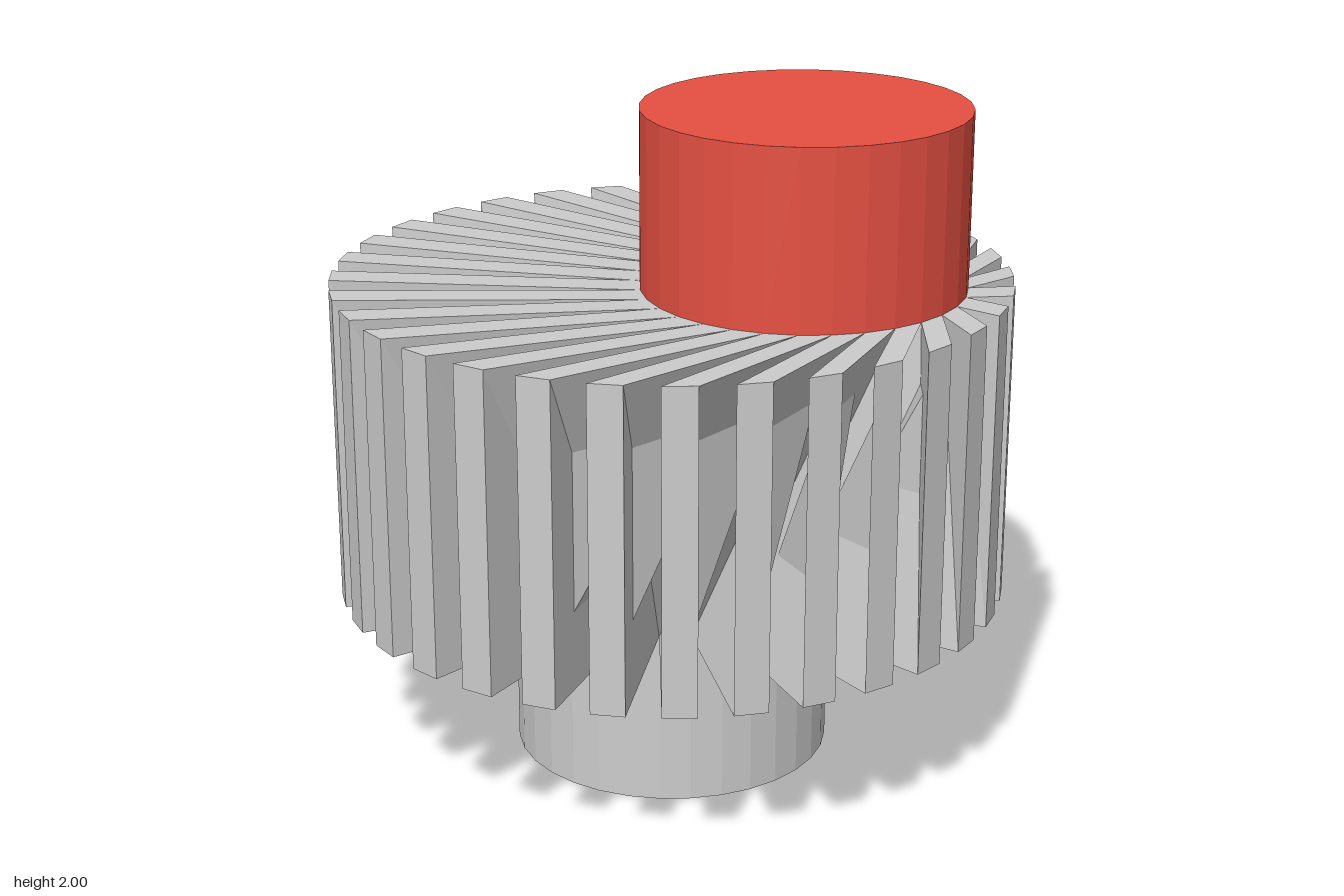
import * as THREE from 'three';

const TEETH = 32, CORE_R = 0.475, OUTER_R = 1;
const Y0 = 0.525, Y1 = 1.475, HEIGHT = 2, SHIFT = 0.395;

// Toothed body: the tips stay upright while the roots lean from the lower shaft to the offset upper one
function toothedGeometry() {
  const pitch = (Math.PI * 2) / TEETH;
  const bottom = [], top = [];
  const add = (r, a, lean) => {
    const x = r * Math.cos(a), z = -r * Math.sin(a);
    bottom.push([x, Y0, z]);
    top.push([x + lean, Y1, z]);
  };
  for (let k = 0; k < TEETH; k++) {
    add(CORE_R, k * pitch, SHIFT);
    add(OUTER_R, (k + 0.25) * pitch, 0);
    add(OUTER_R, (k + 0.75) * pitch, 0);
  }
  const pos = [];
  const tri = (a, b, c) => pos.push(...a, ...b, ...c);
  const n = bottom.length;
  // walls
  for (let i = 0; i < n; i++) {
    const j = (i + 1) % n;
    tri(bottom[i], bottom[j], top[i]);
    tri(bottom[j], top[j], top[i]);
  }
  // upper and lower tooth faces
  for (let i = 0; i < n; i += 3) {
    const j = (i + 3) % n;
    tri(top[i], top[i + 1], top[i + 2]);
    tri(top[i], top[i + 2], top[j]);
    tri(bottom[i], bottom[i + 2], bottom[i + 1]);
    tri(bottom[i], bottom[j], bottom[i + 2]);
  }
  const g = new THREE.BufferGeometry();
  g.setAttribute('position', new THREE.Float32BufferAttribute(pos, 3));
  g.computeVertexNormals();
  return g;
}

// Faceted shaft between two heights
function shaftGeometry(y0, y1, x) {
  const g = new THREE.CylinderGeometry(CORE_R, CORE_R, y1 - y0, TEETH).toNonIndexed();
  g.computeVertexNormals();
  return g.translate(x, (y0 + y1) / 2, 0);
}

export function createModel() {
  const gray = new THREE.MeshStandardMaterial({ color: 0xcccccc, side: THREE.DoubleSide });
  gray.name = 'gray';
  const red = new THREE.MeshStandardMaterial({ color: 0xe65042 });
  red.name = 'red';

  const group = new THREE.Group();
  const part = (name, geometry, material) => {
    const mesh = new THREE.Mesh(geometry, material);
    mesh.name = name;
    group.add(mesh);
  };
  part('lowerShaft', shaftGeometry(0, Y0, 0), gray);
  part('toothedBody', toothedGeometry(), gray);
  part('upperShaft', shaftGeometry(Y1, HEIGHT, SHIFT), red);
  return group;
}
